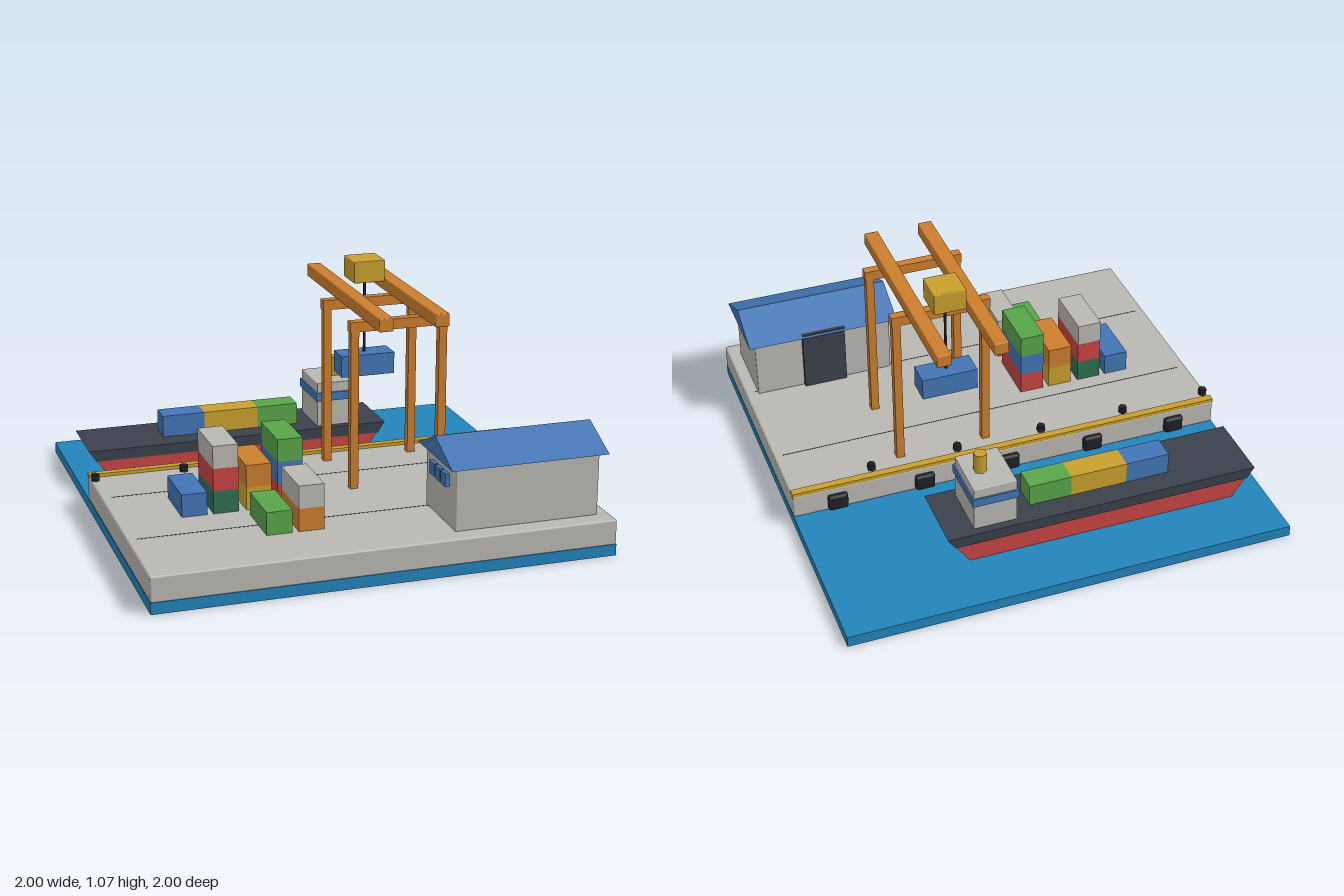
import * as THREE from 'three';
import { RoundedBoxGeometry } from 'three/addons/geometries/RoundedBoxGeometry.js';

const colours = {
  water: 0x2383ba, concrete: 0xbab8b2, blue: 0x4275b5, yellow: 0xc9a02e, orange: 0xcc7e2e,
  green: 0x59a549, red: 0xc84444, slate: 0x3b414b, darkGreen: 0x2f7050, black: 0x1e2024,
};

export function createModel() {
  const root = new THREE.Group();
  root.name = 'containerPort';
  const mats = {};
  for (const [name, color] of Object.entries(colours)) {
    mats[name] = new THREE.MeshStandardMaterial({ color });
    mats[name].name = name;
  }

  const group = (name) => {
    const g = new THREE.Group();
    g.name = name;
    root.add(g);
    return g;
  };
  const add = (parent, name, geometry, mat, x = 0, y = 0, z = 0) => {
    const m = new THREE.Mesh(geometry, mats[mat]);
    m.name = name;
    m.position.set(x, y, z);
    parent.add(m);
    return m;
  };
  // Box given by its lower and upper limits on each axis; an edge radius is optional
  const box = (parent, name, mat, [x0, x1], [y0, y1], [z0, z1], r = 0) => {
    const s = [x1 - x0, y1 - y0, z1 - z0];
    const g = r ? new RoundedBoxGeometry(...s, 1, r) : new THREE.BoxGeometry(...s);
    return add(parent, name, g, mat, (x0 + x1) / 2, (y0 + y1) / 2, (z0 + z1) / 2);
  };
  // Straight extrusion of an outline, centred on its depth
  const prism = (points, depth) => {
    const shape = new THREE.Shape(points.map(([x, y]) => new THREE.Vector2(x, y)));
    return new THREE.ExtrudeGeometry(shape, { depth, bevelEnabled: false }).translate(0, 0, -depth / 2);
  };

  // Water and quay
  box(root, 'water', 'water', [-1, 1], [0, 0.05], [-1, 1]);
  const quay = group('quay');
  box(quay, 'quayDeck', 'concrete', [-1, 1], [0.048, 0.16], [-0.2, 1], 0.008);
  box(quay, 'quayEdge', 'yellow', [-1, 1], [0.158, 0.175], [-0.2, -0.165]);
  for (const z of [0.1, 0.6]) {
    box(quay, 'pavingSeam', 'slate', [-0.96, 0.96], [0.158, 0.161], [z - 0.002, z + 0.002]);
  }
  for (let i = 0; i < 5; i++) {
    add(quay, 'bollard', new THREE.CylinderGeometry(0.019, 0.019, 0.03, 6), 'black', -0.98 + i * 0.4, 0.175, -0.128);
    const x = -0.8 + i * 0.4;
    box(quay, 'fender', 'black', [x - 0.045, x + 0.045], [0.055, 0.13], [-0.224, -0.19], 0.012);
  }

  // Gantry crane
  const crane = group('gantryCrane');
  for (const z of [-0.077, 0.298]) {
    for (const x of [0.072, 0.473]) {
      box(crane, 'craneLeg', 'orange', [x - 0.018, x + 0.018], [0.16, 0.87], [z - 0.018, z + 0.018]);
    }
    box(crane, 'crossBeam', 'orange', [0.05, 0.495], [0.867, 0.912], [z - 0.02, z + 0.02]);
  }
  for (const x of [0.147, 0.397]) {
    box(crane, 'girder', 'orange', [x - 0.032, x + 0.032], [0.912, 0.97], [-0.5, 0.5], 0.005);
  }
  box(crane, 'trolley', 'yellow', [0.2, 0.345], [0.972, 1.07], [-0.22, -0.075], 0.004);
  add(crane, 'hoistCable', new THREE.CylinderGeometry(0.006, 0.006, 0.35, 6), 'black', 0.273, 0.803, -0.147);
  box(crane, 'hoistedContainer', 'blue', [0.148, 0.398], [0.537, 0.635], [-0.203, -0.09]);

  // Container stacks on the quay: x, z, colours from the bottom up
  const yard = group('containerYard');
  const stacks = [
    [-0.671, 0.297, ['blue']],
    [-0.534, 0.297, ['darkGreen', 'red', 'concrete']],
    [-0.39, 0.297, ['yellow', 'orange']],
    [-0.252, 0.297, ['red', 'blue', 'green']],
    [-0.39, 0.599, ['green']],
    [-0.252, 0.599, ['orange', 'concrete']],
  ];
  for (const [x, z, list] of stacks) {
    list.forEach((mat, i) => {
      const y = 0.16 + i * 0.1;
      box(yard, 'container', mat, [x - 0.055, x + 0.055], [y, y + 0.1], [z - 0.125, z + 0.125]);
    });
  }

  // Warehouse with a gabled roof
  const house = group('warehouse');
  box(house, 'walls', 'concrete', [0.305, 0.945], [0.158, 0.437], [0.578, 0.92], 0.006);
  const roof = prism([[-0.2, 0.435], [0.2, 0.435], [0, 0.525]], 0.7).rotateY(Math.PI / 2);
  add(house, 'roof', roof, 'blue', 0.625, 0, 0.75);
  box(house, 'door', 'slate', [0.525, 0.725], [0.16, 0.447], [0.56, 0.58]);
  for (const z of [0.685, 0.75, 0.815]) {
    box(house, 'window', 'blue', [0.287, 0.306], [0.33, 0.387], [z - 0.027, z + 0.027]);
  }

  // Cargo ship: raked hull, deck band, bridge, funnel and cargo
  const ship = group('cargoShip');
  const hull = prism([[-0.85, 0.05], [0.375, 0.05], [0.44, 0.145], [-0.915, 0.145]], 0.303);
  add(ship, 'hull', hull, 'red', 0, 0, -0.577);
  const deck = prism([[-0.915, 0.14], [0.44, 0.14], [0.473, 0.19], [-0.948, 0.19]], 0.314);
  add(ship, 'deck', deck, 'slate', 0, 0, -0.577);
  box(ship, 'bridge', 'concrete', [0.15, 0.345], [0.188, 0.4], [-0.698, -0.455], 0.004);
  box(ship, 'bridgeWindows', 'blue', [0.144, 0.351], [0.313, 0.353], [-0.705, -0.446]);
  add(ship, 'funnel', new THREE.CylinderGeometry(0.03, 0.03, 0.095, 6), 'yellow', 0.273, 0.443, -0.577);
  for (const [mat, x0, x1] of [['blue', -0.578, -0.38], ['yellow', -0.38, -0.123], ['green', -0.123, 0.07]]) {
    box(ship, 'deckContainer', mat, [x0, x1], [0.188, 0.29], [-0.632, -0.523]);
  }
  return root;
}
